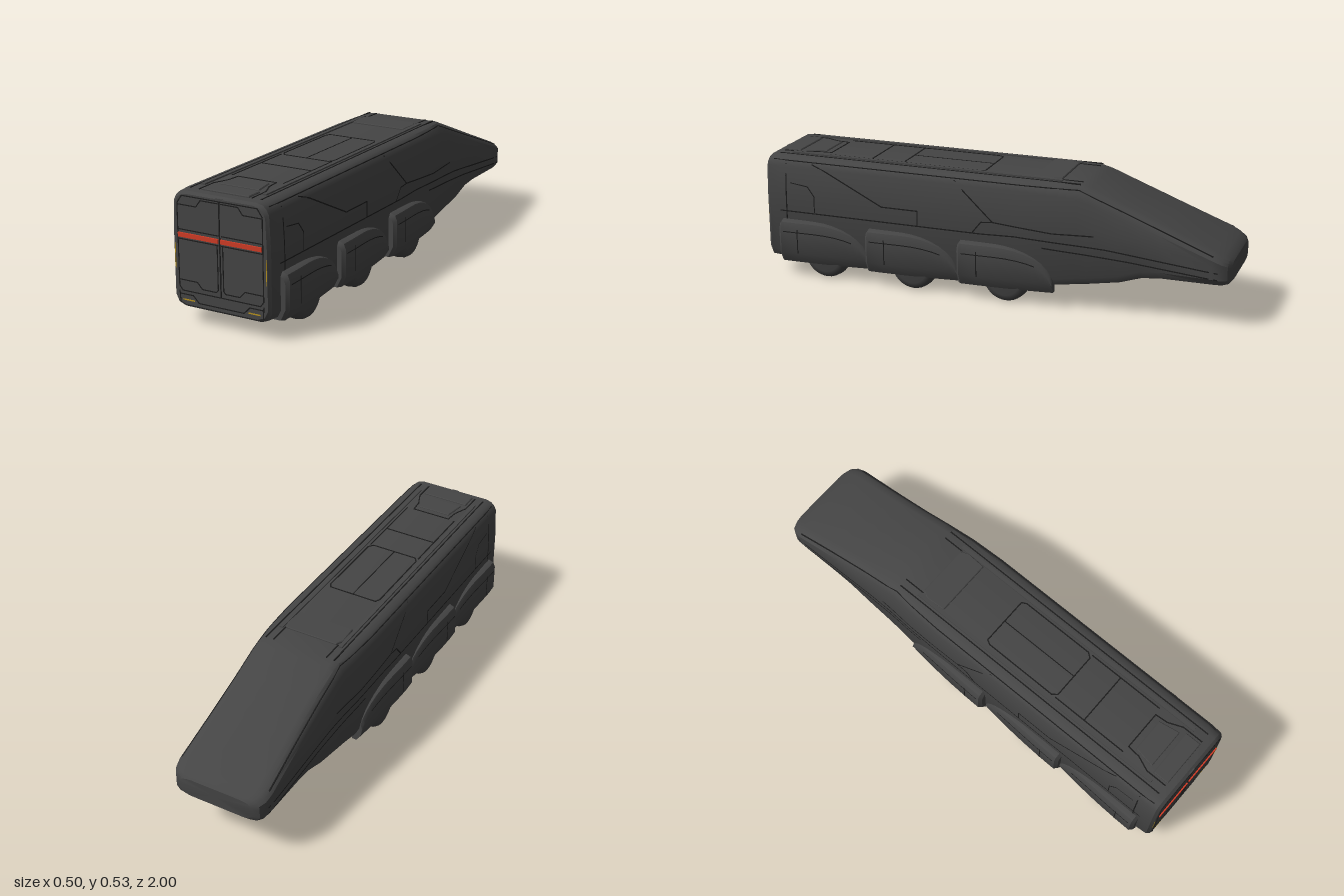
import * as THREE from 'three';
import { mergeGeometries, toCreasedNormals } from 'three/addons/utils/BufferGeometryUtils.js';

const mat = (name, color, side = THREE.FrontSide) => {
  const m = new THREE.MeshStandardMaterial({ color, side });
  m.name = name;
  return m;
};

// Hull stations: z, bottom y, top y, half width, shoulder half width, chamfer drop
const STATIONS = [
  [0.994, 0.078, 0.508, 0.203, 0.178, 0.04],
  [0.982, 0.067, 0.517, 0.213, 0.187, 0.04],
  [0.93, 0.065, 0.52, 0.217, 0.19, 0.04],
  [-0.15, 0.072, 0.52, 0.217, 0.19, 0.04],
  [-0.3, 0.09, 0.52, 0.213, 0.185, 0.045],
  [-0.38, 0.102, 0.519, 0.208, 0.178, 0.05],
  [-0.42, 0.107, 0.509, 0.206, 0.177, 0.05],
  [-0.55, 0.13, 0.459, 0.204, 0.176, 0.045],
  [-0.64, 0.16, 0.424, 0.204, 0.177, 0.04],
  [-0.72, 0.168, 0.392, 0.204, 0.179, 0.036],
  [-0.93, 0.171, 0.309, 0.204, 0.186, 0.026],
  [-0.965, 0.172, 0.292, 0.2, 0.18, 0.024],
  [-0.988, 0.176, 0.28, 0.186, 0.165, 0.022],
  [-1.0, 0.187, 0.268, 0.158, 0.14, 0.02],
];

function station(z) {
  let i = 0;
  while (i < STATIONS.length - 2 && STATIONS[i + 1][0] > z) i++;
  const a = STATIONS[i], b = STATIONS[i + 1];
  const t = THREE.MathUtils.clamp((a[0] - z) / (a[0] - b[0]), 0, 1);
  return a.map((v, k) => v + (b[k] - v) * t);
}

// Half cross-section, from the floor up to the roof
function halfProfile([, yb, yt, w, wt, c]) {
  const h = yt - yb, e = Math.min(0.04, h * 0.25);
  return [[w - 0.045, yb], [w - 0.014, yb + e * 0.3], [w, yb + e], [w, yb + h * 0.62],
    [wt + 0.02, yt - c], [wt + 0.01, yt - c * 0.5], [wt - 0.005, yt - c * 0.17], [wt - 0.03, yt]];
}

// x of the hull side at a given z and y
function sideX(z, y) {
  const p = halfProfile(station(z));
  for (let i = 0; i < p.length - 1; i++) {
    if (y <= p[i + 1][1]) return THREE.MathUtils.mapLinear(Math.max(y, p[i][1]), p[i][1], p[i + 1][1], p[i][0], p[i + 1][0]);
  }
  return p[p.length - 1][0];
}

// Skin through closed rings running from +z to -z, each counter-clockwise from +z
function loft(rings, crease) {
  const n = rings[0].length, pos = rings.flat(2), idx = [];
  const cap = (ring, base, front) => {
    const c = ring.reduce((s, p) => s.map((v, k) => v + p[k] / n), [0, 0, 0]);
    const ci = pos.push(...c) / 3 - 1;
    for (let i = 0; i < n; i++) {
      const a = base + i, b = base + (i + 1) % n;
      idx.push(ci, ...(front ? [a, b] : [b, a]));
    }
  };
  for (let r = 0; r < rings.length - 1; r++) for (let i = 0; i < n; i++) {
    const a = r * n + i, b = r * n + (i + 1) % n;
    idx.push(a, a + n, b, b, a + n, b + n);
  }
  cap(rings[0], 0, true);
  cap(rings[rings.length - 1], (rings.length - 1) * n, false);
  const g = new THREE.BufferGeometry();
  g.setAttribute('position', new THREE.Float32BufferAttribute(pos, 3));
  g.setIndex(idx);
  return toCreasedNormals(g, crease);
}

// Thin bars along a polyline
function seam(points, t = 0.005) {
  const v = points.map(p => new THREE.Vector3(...p));
  return v.slice(1).map((b, i) => {
    const a = v[i], d = b.clone().sub(a), mid = a.clone().add(b).multiplyScalar(0.5);
    return new THREE.BoxGeometry(t, t, d.length() + t * 0.5).lookAt(d).translate(mid.x, mid.y, mid.z);
  });
}

// Seam lying on the hull side, given as z, y points
function sideSeam(s, zy, t = 0.005) {
  const pts = [];
  zy.forEach(([z, y], i) => {
    const [z0, y0] = i ? zy[i - 1] : [z, y];
    const n = i ? Math.ceil(Math.hypot(z - z0, y - y0) / 0.06) : 1;
    for (let k = 1; k <= n; k++) {
      const zz = z0 + (z - z0) * k / n, yy = y0 + (y - y0) * k / n;
      pts.push([s * (sideX(zz, yy) - t * 0.3), yy, zz]);
    }
  });
  return seam(pts, t);
}

// Fender stations along t: 0 at the blunt front end, 1 at the swept tail
function fenderAt(t, z0) {
  const k = Math.max(0, (t - 0.4) / 0.6);
  const top = 0.11 + 0.14 * Math.sqrt(Math.max(0, 1 - k * k * 0.98));
  const lip = t === 0 ? 0.012 : 0;
  return { z: z0 - 0.405 * t, top: top - lip, x: 0.249 - lip - 0.026 * t * t };
}

export function createModel() {
  const model = new THREE.Group();
  const body = mat('charcoal body', 0x454545);
  const dark = mat('black seams', 0x1c1c1c);
  const tyre = mat('tyre grey', 0x404040);
  const red = mat('red light', 0xd23c26);
  const amber = mat('amber light', 0xb8921e);
  const add = (name, geo, m) => {
    const mesh = new THREE.Mesh(Array.isArray(geo) ? mergeGeometries(geo) : geo, m);
    mesh.name = name;
    model.add(mesh);
    return mesh;
  };
  const box = (w, h, d, x, y, z) => new THREE.BoxGeometry(w, h, d).translate(x, y, z);

  // Hull with long tapered tail
  add('hull', loft(STATIONS.map(s => {
    const half = halfProfile(s);
    return [...half, ...half.map(([x, y]) => [-x, y]).reverse()].map(([x, y]) => [x, y, s[0]]);
  }), 0.5), body);

  const sideLines = [], frontLines = [], roofLines = [], lamps = [], fenders = [], wheels = [], bars = [];
  const lampZ = 0.993;
  for (const s of [1, -1]) {
    for (const z of [0.73, 0.33, -0.08]) {
      // Rounded wheel
      const profile = [[0, -0.049], [0.068, -0.049], [0.088, -0.042], [0.097, -0.027], [0.1, 0],
        [0.097, 0.027], [0.088, 0.042], [0.068, 0.049], [0, 0.049]].map(p => new THREE.Vector2(...p));
      wheels.push(new THREE.LatheGeometry(profile, 32).rotateZ(Math.PI / 2).translate(s * 0.17, 0.1, z));

      // Swept fender
      const z0 = z + 0.2;
      const rings = [0, 0.03, 0.2, 0.4, 0.5, 0.6, 0.7, 0.8, 0.88, 0.94, 0.98, 1].map(t => {
        const f = fenderAt(t, z0), r = Math.min(0.03, (f.top - 0.07) * 0.4);
        const ring = [[0.18, 0.064], [f.x - 0.022, 0.064], [f.x, 0.064 + r * 1.5], [f.x, f.top - r],
          [f.x - 0.009, f.top - r * 0.3], [f.x - 0.03, f.top], [0.18, f.top]].map(([x, y]) => [s * x, y, f.z]);
        return s > 0 ? ring : ring.reverse();
      });
      fenders.push(loft(rings, 0.6));

      // Inner arch line and vertical split on the fender
      const arch = [0.06, 0.25, 0.4, 0.52, 0.64, 0.74, 0.82].map(t => {
        const f = fenderAt(t, z0);
        return [s * (f.x - 0.001), 0.115 + (f.top - 0.11) * 0.62, f.z];
      });
      sideLines.push(...seam(arch, 0.004));
      const f = fenderAt(0.22, z0);
      sideLines.push(...seam([[s * (f.x - 0.001), 0.11, f.z], [s * (f.x - 0.001), 0.215, f.z]], 0.004));
    }

    // Body panel seams
    sideLines.push(
      ...sideSeam(s, [[0.96, 0.502], [-0.38, 0.502], [-0.93, 0.296]]),
      ...sideSeam(s, [[0.9, 0.12], [0.9, 0.49]]),
      ...sideSeam(s, [[0.93, 0.285], [0.02, 0.285], [-0.12, 0.29], [-0.5, 0.275], [-0.95, 0.232]]),
      ...sideSeam(s, [[0.78, 0.495], [0.72, 0.475], [0.46, 0.35], [0.3, 0.35], [0.3, 0.285]]),
      ...sideSeam(s, [[0.14, 0.495], [-0.03, 0.34], [-0.28, 0.32], [-0.45, 0.325]]),
      ...sideSeam(s, [[0.06, 0.285], [0.02, 0.335], [-0.03, 0.34]]),
      ...sideSeam(s, [[-0.24, 0.255], [-0.6, 0.235], [-0.95, 0.205]]),
      ...sideSeam(s, [[0.88, 0.41], [0.8, 0.4], [0.77, 0.36], [0.77, 0.29]], 0.004));

    // Front door outlines, bumper trim and corner trim
    const f = pts => frontLines.push(...seam(pts.map(([x, y]) => [s * x, y, 0.9935]), 0.004));
    f([[0.007, 0.492], [0.082, 0.492], [0.102, 0.465], [0.183, 0.465]]);
    f([[0.007, 0.37], [0.186, 0.37]]);
    f([[0.007, 0.333], [0.186, 0.333]]);
    f([[0.02, 0.15], [0.083, 0.15], [0.105, 0.174], [0.183, 0.174]]);
    f([[0.02, 0.15], [0.012, 0.16], [0.012, 0.333]]);
    f([[0.004, 0.132], [0.172, 0.132], [0.186, 0.15], [0.186, 0.47], [0.165, 0.5], [0.004, 0.5]]);
    f([[0.18, 0.118], [0.125, 0.118], [0.1, 0.092], [0, 0.092]]);
    f([[0.186, 0.13], [0.183, 0.085]]);
    bars.push(box(0.178, 0.017, 0.008, s * 0.094, 0.35, 0.996));
    lamps.push(box(0.052, 0.005, 0.004, s * 0.145, 0.097, lampZ));
    lamps.push(box(0.003, 0.1, 0.004, s * 0.2, 0.265, lampZ));
    lamps.push(box(0.004, 0.003, 0.06, s * 0.155, 0.52, 0.7));

    // Roof seams, mirrored halves
    const r = (pts, y = 0.5195) => roofLines.push(...seam(pts.map(([x, z]) => [s * x, y, z]), 0.005));
    r([[0.155, -0.38], [0.155, 0.95]]);
    r([[0.12, -0.38], [0.12, -0.29]]);
    r([[0, 0.04], [0.105, 0.04], [0.115, 0.06], [0.115, 0.38], [0.1, 0.4], [0, 0.4]]);
    r([[0.115, 0.4], [0.115, 0.74]]);
    r([[0, 0.545], [0.115, 0.545]]);
    r([[0, 0.745], [0.085, 0.745], [0.09, 0.8], [0.115, 0.86], [0.115, 0.95]]);
  }
  add('wheels', wheels, tyre);
  add('fenders', fenders, body);
  add('sideSeams', sideLines, dark);

  // Front face centre seam, light bar and latch
  frontLines.push(...seam([[0, 0.132, 0.9935], [0, 0.5, 0.9935]], 0.005));
  add('frontSeams', frontLines, dark);
  add('frontLightBar', bars, red);
  add('markerLights', lamps, amber);
  add('doorLatch', box(0.03, 0.012, 0.012, 0, 0.505, 0.989), body);

  // Roof hatches
  roofLines.push(...seam([[0, 0.5195, 0.04], [0, 0.5195, 0.4]], 0.004));
  add('roofSeams', roofLines, dark);
  const hatch = (name, pts, y) => {
    const shape = new THREE.Shape(pts.map(([x, z]) => new THREE.Vector2(x, -z)));
    const geo = new THREE.ExtrudeGeometry(shape, { depth: 0.006, bevelSize: 0.003, bevelThickness: 0.003, bevelSegments: 1 });
    add(name, geo.rotateX(-Math.PI / 2).translate(0, y, 0), body);
  };
  hatch('rearRoofHatch', [[-0.12, -0.18], [0.12, -0.18], [0.125, -0.26], [0.11, -0.29], [-0.11, -0.29], [-0.125, -0.26]], 0.518);
  hatch('frontRoofHatch', [[-0.1, 0.95], [0.1, 0.95], [0.1, 0.885], [-0.1, 0.885]], 0.517);
  hatch('midRoofHatch', [[-0.085, 0.86], [0.085, 0.86], [0.07, 0.775], [-0.07, 0.775]], 0.516);
  add('roofRails', [1, -1].map(s => box(0.016, 0.014, 1.2, s * 0.135, 0.519, 0.3)), body);
  return model;
}
